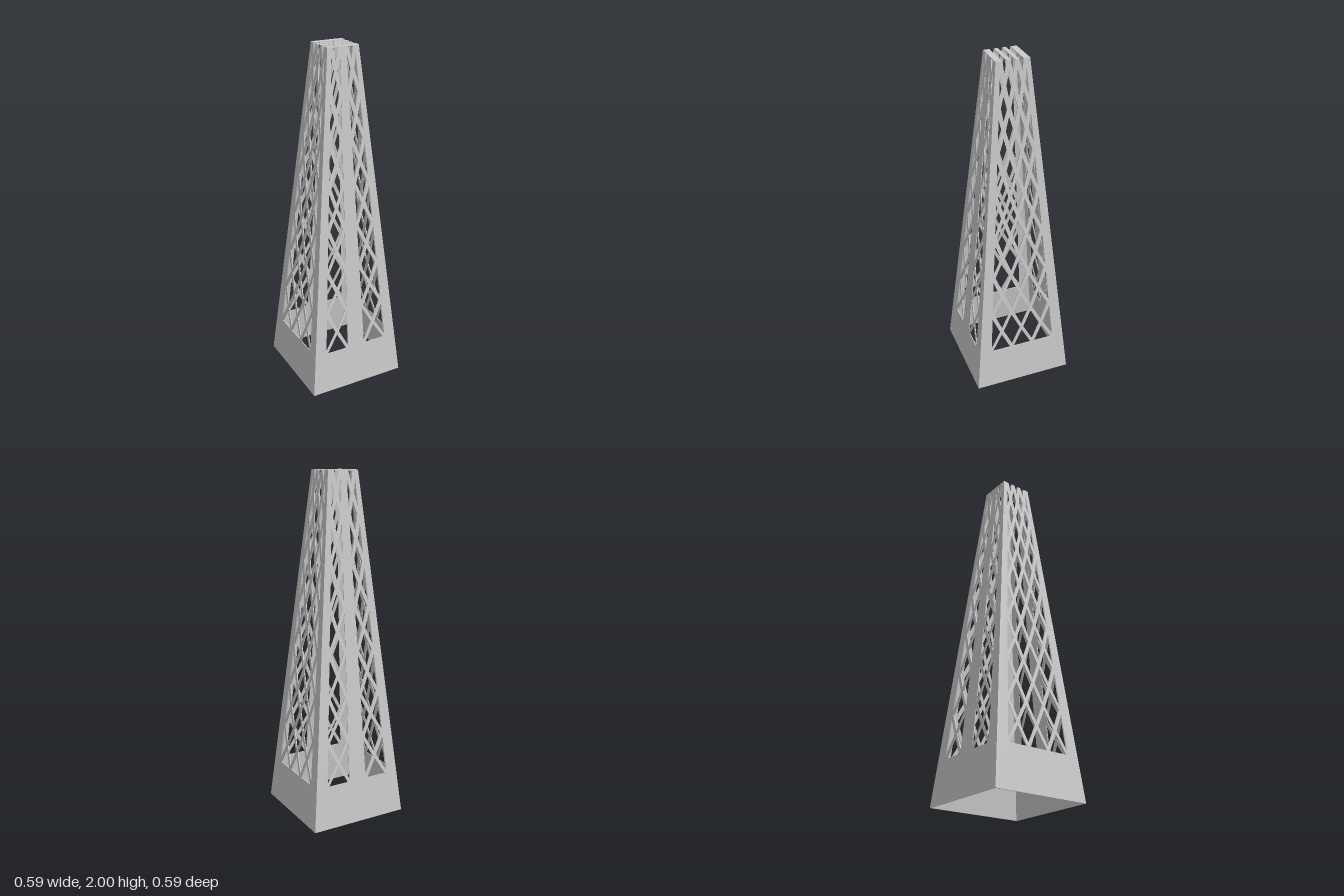
import * as THREE from 'three';

const H = 2, BASE = 0.295, TOP = 0.094;      // height and half widths
const THICK = 0.005, BAR = 0.022;            // wall thickness, lattice bar width
const Y0 = 0.25, STEP = 0.125, ROWS = 14;    // lattice start and half cell height
const halfWidth = (y) => BASE + (TOP - BASE) * y / H;
const taper = (y) => 1 - 0.65 * (y - Y0) / (H - Y0);

// Diamond openings of one lattice band between u0 and u1 (measured at Y0)
function bandOpenings(u0, u1, columns) {
  const cells = [], half = (u1 - u0) / (2 * columns);
  for (let j = 0; j <= ROWS; j++) {
    for (let i = 0; i <= 2 * columns; i++) {
      if ((i + j) % 2 === 0) continue;
      const y = Y0 + j * STEP, u = u0 + i * half;
      const k = 1 - BAR / (2 * half * taper(y));
      const a = half * k, h = STEP * k;
      const pts = [];
      const add = (pu, py) => pts.push(new THREE.Vector2(pu * taper(py), py));
      if (j === 0) {                           // triangle on the plinth
        add(u - a, y); add(u + a, y); add(u, y + h);
      } else if (j === ROWS) {                 // notch in the top edge
        add(u + a, y); add(u, y - h); add(u - a, y);
      } else {                                 // whole or half diamond
        add(u, y - h);
        if (i < 2 * columns) add(u + a, y);
        add(u, y + h);
        if (i > 0) add(u - a, y);
      }
      cells.push({ pts, notch: j === ROWS });
    }
  }
  return cells;
}

// One sloping wall facing +z, mitred at its corners
function wallGeometry(openings) {
  const notches = openings.filter((o) => o.notch).sort((a, b) => b.pts[0].x - a.pts[0].x);
  const shape = new THREE.Shape([
    new THREE.Vector2(-BASE, 0), new THREE.Vector2(BASE, 0), new THREE.Vector2(TOP, H),
    ...notches.flatMap((o) => o.pts),
    new THREE.Vector2(-TOP, H),
  ]);
  shape.holes = openings.filter((o) => !o.notch).map((o) => new THREE.Path(o.pts));
  const geo = new THREE.ExtrudeGeometry(shape, { depth: THICK, bevelEnabled: false });
  const p = geo.attributes.position;
  for (let i = 0; i < p.count; i++) {
    const y = p.getY(i), w = halfWidth(y), z = w - (THICK - p.getZ(i));
    p.setXYZ(i, p.getX(i) * z / w, y, z);
  }
  geo.computeVertexNormals();
  return geo;
}

export function createModel() {
  const group = new THREE.Group();
  const material = new THREE.MeshStandardMaterial({ color: 0xcccccc, flatShading: true });
  const add = (name, geo) => {
    const mesh = new THREE.Mesh(geo, material);
    mesh.name = name;
    group.add(mesh);
    return mesh;
  };

  // Front and back have two narrow bands, the sides one wide band
  const sideOpenings = bandOpenings(-0.2, 0.2, 3);
  const frontGeo = wallGeometry([...bandOpenings(-0.2, -0.055, 1), ...bandOpenings(0.055, 0.2, 1)]);
  const sideGeo = wallGeometry(sideOpenings);
  ['frontWall', 'leftWall', 'backWall', 'rightWall'].forEach((name, i) => {
    add(name, i % 2 ? sideGeo : frontGeo).rotation.y = i * Math.PI / 2;
  });

  // Roof slats lie between the notches of the side walls
  const edges = sideOpenings.filter((o) => o.notch).flatMap((o) => [o.pts[0].x, o.pts[2].x]);
  edges.push(-TOP, TOP);
  edges.sort((a, b) => a - b);
  for (let i = 0; i < edges.length; i += 2) {
    const slat = add('roofSlat', new THREE.BoxGeometry(2 * TOP, THICK, edges[i + 1] - edges[i]));
    slat.position.set(0, H - THICK / 2, (edges[i] + edges[i + 1]) / 2);
  }
  return group;
}
